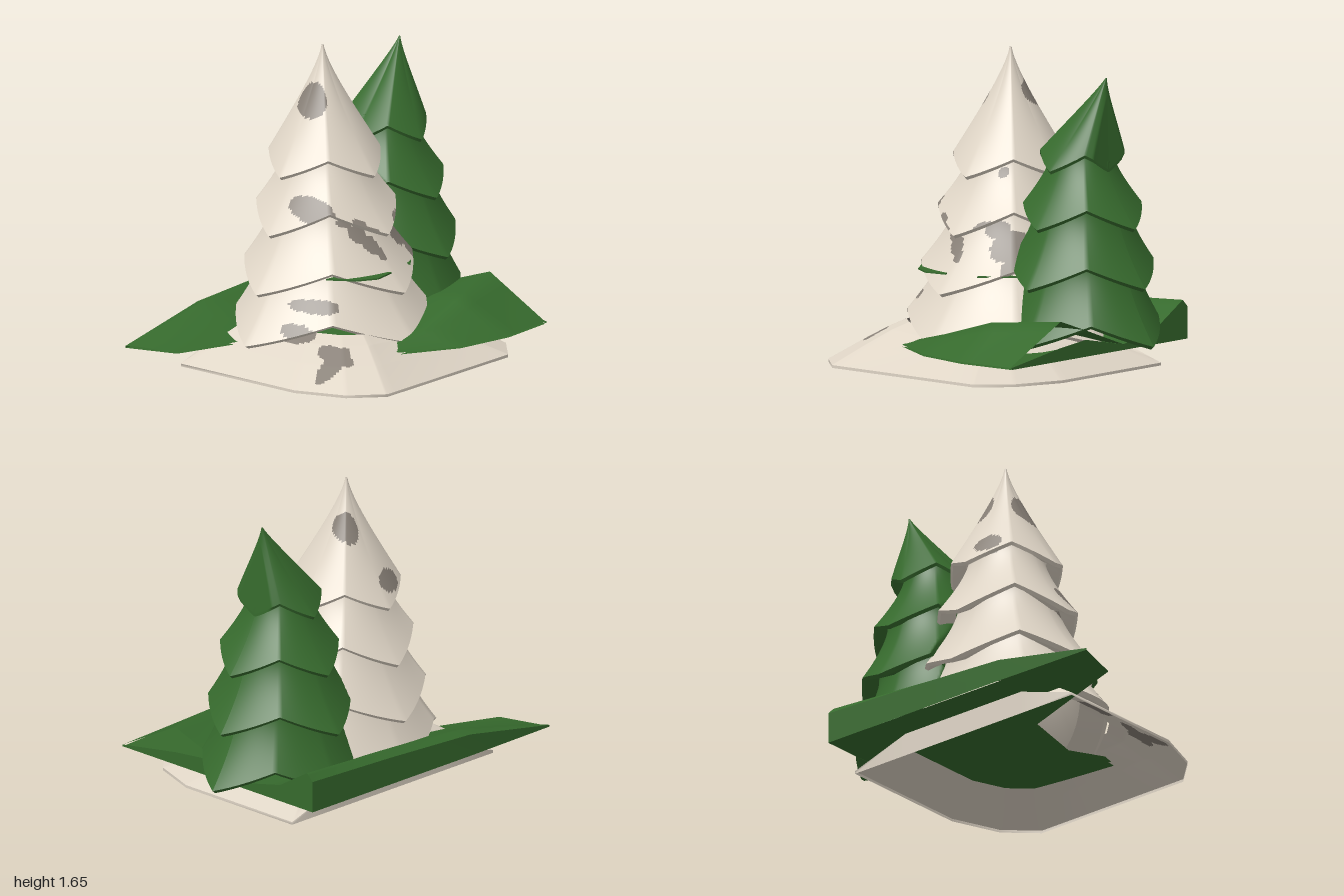
import * as THREE from 'three';

const paint = (name, color) => {
  const m = new THREE.MeshStandardMaterial({ color, side: THREE.DoubleSide });
  m.name = name;
  return m;
};

// Grey camouflage spots on the pale parts: centre x, y, z and radii x, y, z
const SPOTS = [
  [-0.15, 0.77, 0.25, 0.05, 0.035, 0.25], [-0.1, 0.71, 0.25, 0.06, 0.05, 0.25],
  [-0.05, 0.65, 0.3, 0.05, 0.05, 0.25], [-0.01, 0.6, 0.3, 0.03, 0.04, 0.25],
  [0.16, 0.74, 0.2, 0.07, 0.05, 0.25], [0.24, 0.67, 0.2, 0.09, 0.09, 0.25],
  [0.31, 0.57, 0.2, 0.06, 0.08, 0.25], [-0.38, 0.36, 0.1, 0.09, 0.035, 0.2],
  [0.13, 1.03, 0.1, 0.03, 0.03, 0.2], [-0.29, 0.84, 0, 0.06, 0.09, 0.18],
  [-0.11, 1.37, -0.17, 0.06, 0.14, 0.09], [0.06, 1.38, -0.24, 0.06, 0.11, 0.08],
  [-0.08, 1.13, -0.44, 0.08, 0.06, 0.1], [-0.45, 0.22, 0, 0.08, 0.06, 0.13],
  [-0.53, 0.1, 0.33, 0.14, 0.2, 0.055], [-0.48, 0.1, 0.3, 0.055, 0.2, 0.12],
];
const inSpot = (p) => SPOTS.some(([x, y, z, a, b, c]) =>
  ((p.x - x) / a) ** 2 + ((p.y - y) / b) ** 2 + ((p.z - z) / c) ** 2 < 1);

// Grid surface from a rule fn(u, v); faces inside a spot take the second material
function surface(name, nu, nv, fn, material, spotMaterial) {
  const pts = [], plain = [], spotted = [];
  for (let j = 0; j <= nv; j++) for (let i = 0; i <= nu; i++) pts.push(fn(i / nu, j / nv));
  for (let j = 0; j < nv; j++) for (let i = 0; i < nu; i++) {
    const a = j * (nu + 1) + i, b = a + 1, c = a + nu + 1, d = c + 1;
    const mid = pts[a].clone().add(pts[d]).multiplyScalar(0.5);
    (spotMaterial && inSpot(mid) ? spotted : plain).push(a, c, b, b, c, d);
  }
  const g = new THREE.BufferGeometry().setFromPoints(pts);
  g.setIndex([...plain, ...spotted]);
  g.computeVertexNormals();
  g.addGroup(0, plain.length, 0);
  g.addGroup(plain.length, spotted.length, 1);
  const mesh = new THREE.Mesh(g, spotMaterial ? [material, spotMaterial] : material);
  mesh.name = name;
  return mesh;
}

// Straight interpolation through rows of [x, y, z]
const throughRows = (rows) => (u, v) => {
  const pick = (row, t) => {
    const s = t * (row.length - 1), i = Math.min(Math.floor(s + 1e-6), row.length - 2);
    return new THREE.Vector3(...row[i]).lerp(new THREE.Vector3(...row[i + 1]), s - i);
  };
  const s = v * (rows.length - 1), j = Math.min(Math.floor(s + 1e-6), rows.length - 2);
  return pick(rows[j], u).lerp(pick(rows[j + 1], u), s - j);
};

// Tree of flared skirts, each with four drooping points and a thick hem
function tree(name, tiers, place, material, spotMaterial) {
  const group = new THREE.Group();
  group.name = name;
  tiers.forEach((k, n) => {
    const at = (u, t, shrink, lift) => {
      const a = u * Math.PI * 2;
      const w = Math.abs(1 - 2 * ((u * 4) % 1));
      const r = THREE.MathUtils.lerp(k.r0, k.r1, t ** k.curve) * (1 - 0.15 * t * (1 - w * w)) * shrink;
      const y = THREE.MathUtils.lerp(k.y0, k.y1 + k.rise * (1 - w), t) + lift;
      const s = Math.sin(a);
      return place(new THREE.Vector3(Math.cos(a) * r, y, s * r * (s > 0 ? k.front : k.back)), n, t);
    };
    group.add(surface('skirt', 160, 40, (u, v) => at(u, v, 1, 0), material, spotMaterial));
    group.add(surface('hem', 64, 1, (u, v) => at(u, 1, 1 - 0.04 * v, -0.016 * v), material));
    group.add(surface('skirtUnderside', 64, 1,
      (u, v) => at(u, 1, 0.96 - 0.24 * v, 0.056 * v - 0.016), material));
  });
  return group;
}

const tier = (y0, r0, y1, r1, rise, curve, front, back) =>
  ({ y0, r0, y1, r1, rise, curve, front, back });

export function createModel() {
  const model = new THREE.Group();
  const pale = paint('paleStone', 0xdfd5c6);
  const grey = paint('greySpots', 0x888077);
  const green = paint('pineGreen', 0x366a2d);

  // Pale tree
  model.add(tree('paleTree', [
    tier(1.66, 0.006, 1.01, 0.35, 0.1, 1.35, 1.03, 0.92),
    tier(1.15, 0.2, 0.71, 0.44, 0.13, 1.6, 1.04, 0.88),
    tier(0.88, 0.27, 0.41, 0.54, 0.13, 1.6, 1.05, 0.81),
    tier(0.6, 0.35, 0.15, 0.63, 0.13, 1.5, 1.03, 0.72),
  ], (p) => p.setZ(p.z - 0.19), pale, grey));

  // Green tree: leaning top, flat side where it meets the pale tree
  model.add(tree('greenTree', [
    tier(1.56, 0.004, 1.08, 0.26, 0.09, 1.2, 1, 1),
    tier(1.2, 0.15, 0.78, 0.37, 0.11, 1.6, 0.98, 0.98),
    tier(0.9, 0.24, 0.47, 0.44, 0.12, 1.6, 1, 1),
    tier(0.6, 0.3, 0.17, 0.5, 0.12, 1.5, 0.9, 0.88),
  ], (p, n, t) => {
    p.x += n === 0 ? 0.65 - 0.15 * t : 0.5;
    p.x = THREE.MathUtils.clamp(p.x, 0.27, n === 0 ? 0.655 + 0.03 * t : 1);
    p.z -= 0.19 + (n === 0 ? 0.02 * (1 - t) : 0);
    return p;
  }, green));

  // Pale mound: hollow shell, higher on one side, with a low wall at the back
  const rim = [[0.4, -0.53], [0.75, -0.53], [0.75, 0.25], [0.65, 0.52], [0.49, 0.67],
    [-0.49, 0.67], [-0.65, 0.52], [-0.75, 0.25], [-0.75, -0.53], [-0.4, -0.53], [0.4, -0.53]];
  const edge = rim.map(([x, z]) => [x, z < -0.5 && Math.abs(x) < 0.6 ? 0.13 : 0.02, z]);
  const inner = (s, y, extra) => rim.map(([x, z]) =>
    [x * s, y + (x < 0 ? extra : 0), (z + 0.1) * s - 0.1]);
  model.add(surface('moundRim', rim.length - 1, 1, throughRows([
    rim.map(([x, z]) => [x, 0.005, z]), edge,
  ]), pale));
  model.add(surface('mound', 160, 60, throughRows([
    edge, inner(0.8, 0.09, 0.03), inner(0.64, 0.145, 0.05), inner(0.54, 0.17, 0.06),
  ]), pale, grey));

  // Green ground sheet, front edge to back edge
  const back = [[-1, 0.14, -0.7], [-0.4, 0.25, -0.71], [0.2, 0.28, -0.71], [0.78, 0.3, -0.71]];
  model.add(surface('greenGround', 18, 24, throughRows([
    [[-0.17, 0.14, 0.48], [0.13, 0.14, 0.65], [0.45, 0.14, 0.71], [0.77, 0.14, 0.69]],
    [[-0.18, 0.15, 0.4], [0.1, 0.22, 0.45], [0.4, 0.31, 0.42], [0.78, 0.34, 0.3]],
    [[-0.1, 0.14, 0.2], [0.1, 0.2, 0.2], [0.45, 0.25, 0.1], [0.78, 0.27, 0.1]],
    [[-0.18, 0.15, -0.16], [0.1, 0.15, -0.2], [0.45, 0.16, -0.2], [0.78, 0.16, -0.2]],
    [[-0.91, 0.135, -0.42], [-0.35, 0.2, -0.45], [0.2, 0.22, -0.47], [0.78, 0.22, -0.47]],
    [[-0.97, 0.14, -0.66], [-0.4, 0.27, -0.66], [0.2, 0.31, -0.66], [0.78, 0.34, -0.67]],
    back,
  ]), green));
  model.add(surface('backBoard', 3, 1, throughRows([
    back, back.map(([x, , z]) => [x, 0.13, z]),
  ]), green));

  // Low side wall, open below the front ridge
  const side = [[0.69, 0.14], [0.3, 0.2], [0.1, 0.22], [-0.2, 0.16], [-0.47, 0.22], [-0.67, 0.34], [-0.71, 0.3]];
  model.add(surface('sideWall', side.length - 1, 1, throughRows([
    side.map(([z, y]) => [0.78, y, z]), side.map(([z]) => [0.78, 0.13, z]),
  ]), green));

  // Flat sheets: ground underside and the slivers poking out of the pale tree
  const sheet = (name, y, corners) => {
    const shape = new THREE.Shape(corners.map(([x, z]) => new THREE.Vector2(x, -z)));
    const mesh = new THREE.Mesh(new THREE.ShapeGeometry(shape).rotateX(-Math.PI / 2), green);
    mesh.position.y = y;
    mesh.name = name;
    model.add(mesh);
    return mesh;
  };
  sheet('groundUnderside', 0.13, [[-1, -0.7], [-0.91, -0.42], [-0.18, -0.16], [-0.1, 0.2], [-0.18, 0.4],
    [-0.17, 0.48], [0.13, 0.65], [0.45, 0.71], [0.77, 0.69], [0.78, -0.71]]);
  // The slivers have a top and a bottom face joined by a thin edge
  const slivers = [
    ['leftSliver', [[-0.34, 0.12], [-0.25, 0.26], [-0.15, 0.32], [-0.02, 0.3], [-0.1, 0.15]]],
    ['rightSliver', [[0.16, 0.15], [0.17, 0.27], [0.36, 0.12]]],
  ];
  for (const [name, corners] of slivers) {
    const plate = sheet(name, 0.505, corners);
    const shape = new THREE.Shape(corners.map(([x, z]) => new THREE.Vector2(x, -z)));
    plate.geometry = new THREE.ExtrudeGeometry(shape, { depth: 0.008, bevelEnabled: false });
    plate.geometry.rotateX(-Math.PI / 2);
  }
  return model;
}
